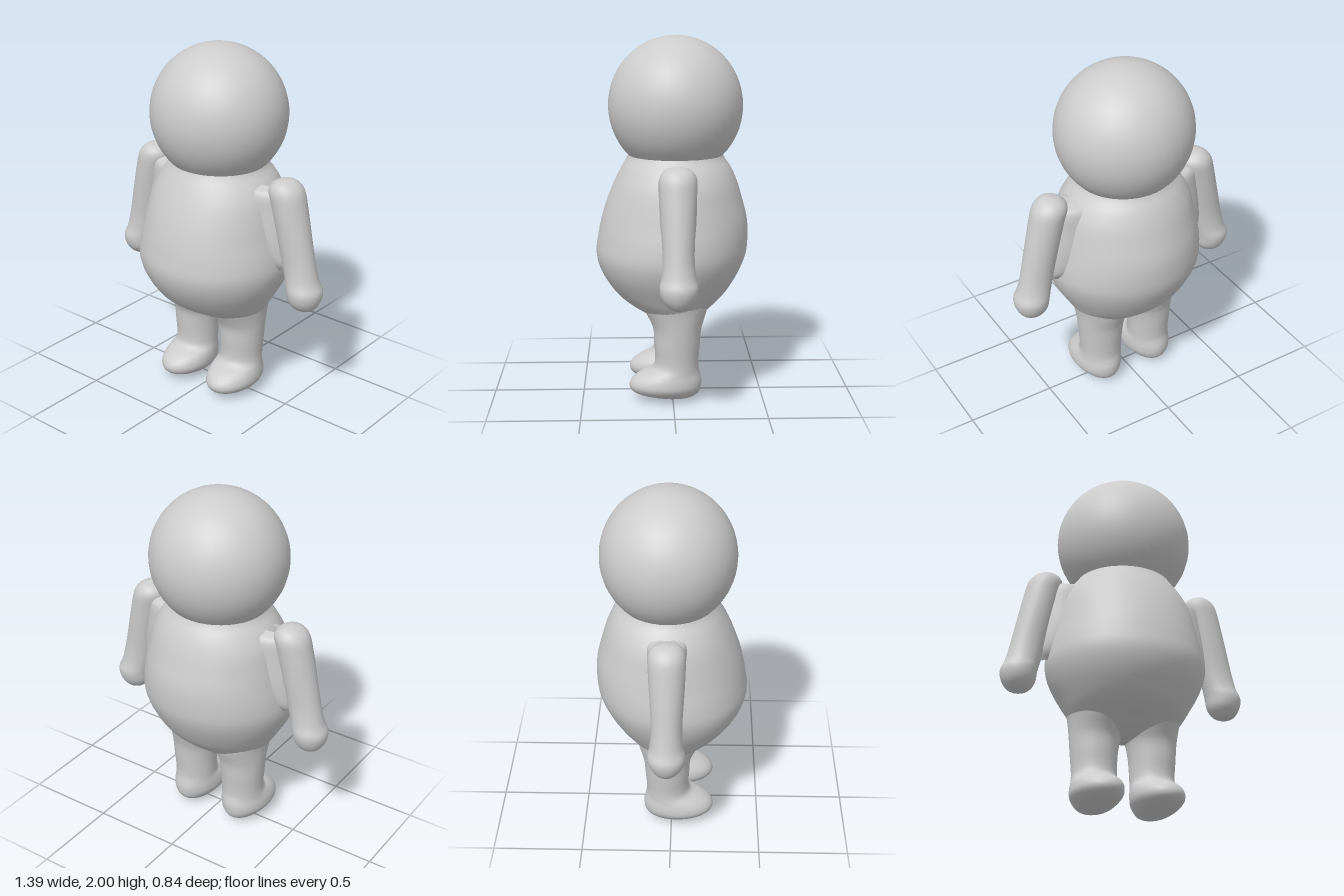
import * as THREE from 'three';
import { mergeVertices } from 'three/addons/utils/BufferGeometryUtils.js';

// Smooth loft through oval rings listed from top to bottom: [y, x0, x1, z0, z1]
function loft(rings, side = 1, steps = 36, sides = 36) {
  const curve = (a, b) => new THREE.CatmullRomCurve3(
    rings.map(r => new THREE.Vector3(r[a], r[0], r[b])), false, 'catmullrom', 0.5);
  const xs = curve(1, 2), zs = curve(3, 4);
  const pos = [], idx = [];
  for (let i = 0; i <= steps; i++) {
    const px = xs.getPoint(i / steps), pz = zs.getPoint(i / steps);
    const cx = side * (px.x + px.z) / 2, rx = Math.max(0, (px.z - px.x) / 2);
    const cz = (pz.x + pz.z) / 2, rz = Math.max(0, (pz.z - pz.x) / 2);
    for (let j = 0; j < sides; j++) {
      const a = (j / sides) * Math.PI * 2;
      pos.push(cx + rx * Math.cos(a), Math.max(0, px.y), cz + rz * Math.sin(a));
      if (i === steps) continue;
      const k = (j + 1) % sides, p = i * sides, q = p + sides;
      idx.push(p + j, p + k, q + j, p + k, q + k, q + j);
    }
  }
  let geo = new THREE.BufferGeometry();
  geo.setAttribute('position', new THREE.Float32BufferAttribute(pos, 3));
  geo.setIndex(idx);
  geo = mergeVertices(geo, 1e-5);
  geo.computeVertexNormals();
  return geo;
}

const TORSO = [
  [1.40, -0.25, 0.25, -0.26, 0.22],
  [1.34, -0.275, 0.275, -0.285, 0.245],
  [1.28, -0.325, 0.325, -0.325, 0.28],
  [1.20, -0.37, 0.37, -0.36, 0.32],
  [1.10, -0.395, 0.395, -0.39, 0.36],
  [1.00, -0.415, 0.415, -0.415, 0.39],
  [0.90, -0.435, 0.435, -0.42, 0.41],
  [0.80, -0.44, 0.44, -0.41, 0.42],
  [0.70, -0.41, 0.41, -0.37, 0.39],
  [0.60, -0.355, 0.355, -0.31, 0.325],
  [0.54, -0.32, 0.32, -0.255, 0.26],
  [0.49, -0.28, 0.28, -0.20, 0.18],
  [0.45, -0.20, 0.20, -0.15, 0.115],
  [0.42, -0.08, 0.08, -0.08, 0.05],
  [0.41, 0, 0, -0.02, -0.02],
];

const ARM = [
  [1.35, 0.455, 0.455, -0.02, -0.02],
  [1.335, 0.40, 0.51, -0.08, 0.045],
  [1.29, 0.365, 0.555, -0.115, 0.078],
  [1.20, 0.385, 0.58, -0.115, 0.08],
  [1.05, 0.42, 0.613, -0.107, 0.073],
  [0.90, 0.455, 0.645, -0.10, 0.065],
  [0.80, 0.48, 0.67, -0.107, 0.07],
  [0.74, 0.495, 0.694, -0.12, 0.083],
  [0.68, 0.505, 0.683, -0.105, 0.07],
  [0.635, 0.54, 0.65, -0.07, 0.03],
  [0.62, 0.597, 0.597, -0.02, -0.02],
];

// Blend between the upper arm and the torso
const ARMPIT = [
  [1.29, 0.27, 0.40, -0.05, 0.01],
  [1.26, 0.15, 0.45, -0.12, 0.08],
  [1.15, 0.12, 0.47, -0.13, 0.09],
  [1.00, 0.12, 0.49, -0.13, 0.09],
  [0.88, 0.20, 0.50, -0.10, 0.06],
  [0.82, 0.30, 0.48, -0.05, 0.01],
];

// Leg flowing into a rounded foot
const LEG = [
  [0.62, 0.03, 0.33, -0.20, 0.19],
  [0.52, 0.0, 0.31, -0.19, 0.16],
  [0.45, 0.01, 0.302, -0.17, 0.125],
  [0.40, 0.025, 0.298, -0.157, 0.107],
  [0.32, 0.037, 0.292, -0.15, 0.102],
  [0.23, 0.042, 0.285, -0.143, 0.098],
  [0.185, 0.042, 0.287, -0.143, 0.115],
  [0.155, 0.035, 0.295, -0.15, 0.18],
  [0.12, 0.03, 0.304, -0.158, 0.227],
  [0.08, 0.033, 0.304, -0.157, 0.24],
  [0.045, 0.055, 0.28, -0.145, 0.21],
  [0.02, 0.09, 0.24, -0.11, 0.11],
  [0.0, 0.165, 0.165, -0.01, -0.01],
];

export function createModel() {
  const model = new THREE.Group();
  model.name = 'figure';
  const clay = new THREE.MeshStandardMaterial({ color: 0xcccccc });
  clay.name = 'light grey';

  const add = (name, geo) => {
    const mesh = new THREE.Mesh(geo, clay);
    mesh.name = name;
    model.add(mesh);
    return mesh;
  };

  // Head
  const head = add('head', new THREE.SphereGeometry(0.38, 40, 28));
  head.position.set(0, 1.62, -0.02);
  head.scale.z = 0.97;

  // Torso
  add('torso', loft(TORSO, 1, 56, 48));

  // Limbs, mirrored across x
  for (const [label, s] of [['left', 1], ['right', -1]]) {
    add(label + 'Arm', loft(ARM, s, 40, 28));
    add(label + 'Armpit', loft(ARMPIT, s, 24, 28));
    add(label + 'Leg', loft(LEG, s, 48, 32));
  }
  return model;
}
